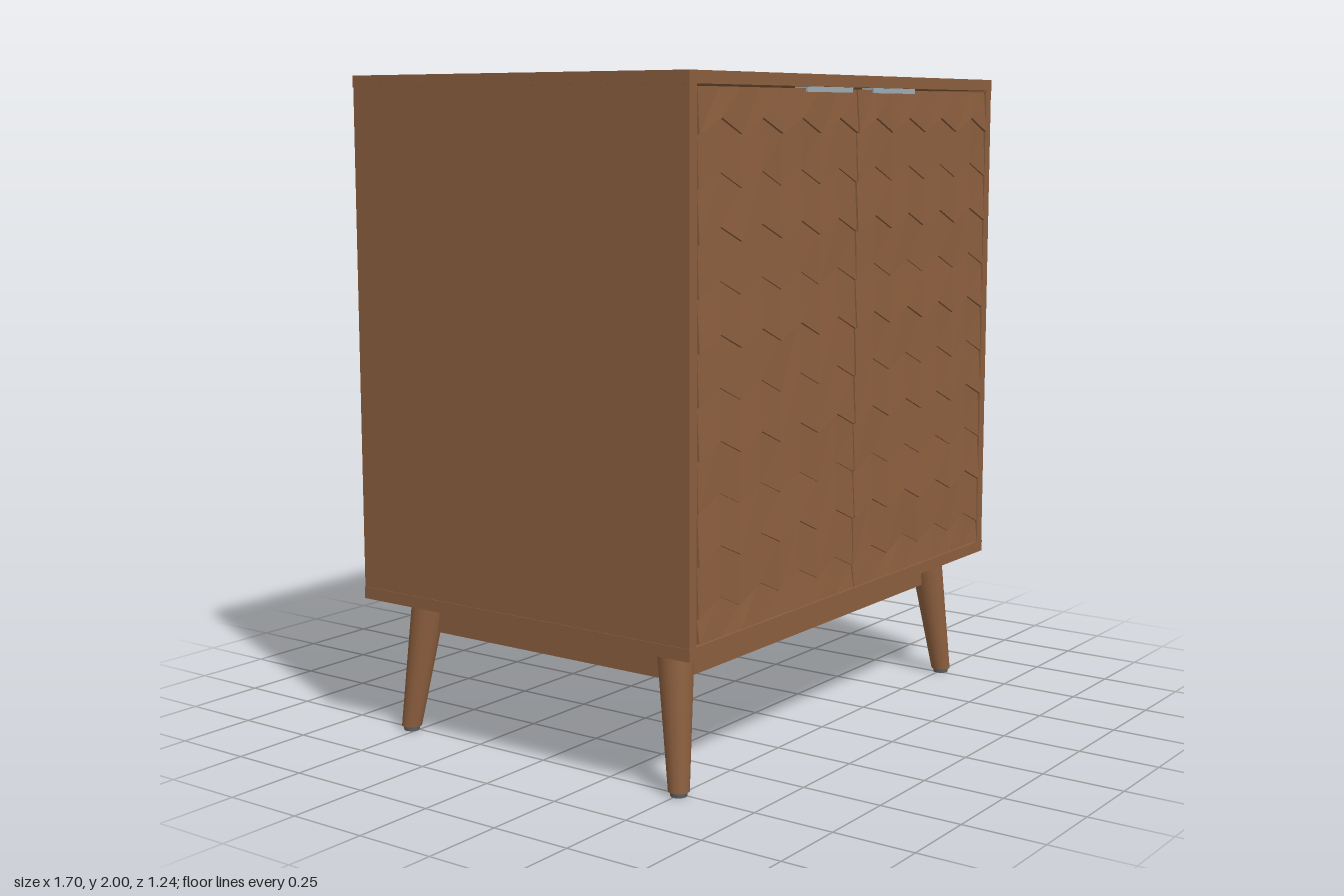
import * as THREE from 'three';

export function createModel() {
  const model = new THREE.Group();
  model.name = 'cabinet';
  const wood = new THREE.MeshStandardMaterial({ color: 0x8b5e3e });
  wood.name = 'brown wood';
  const metal = new THREE.MeshStandardMaterial({ color: 0x9eacb5 });
  metal.name = 'brushed metal';
  const rubber = new THREE.MeshStandardMaterial({ color: 0x5c6266 });
  rubber.name = 'grey foot';

  const add = (name, geometry, material, parent = model) => {
    const mesh = new THREE.Mesh(geometry, material);
    mesh.name = name;
    parent.add(mesh);
    return mesh;
  };
  // Box given by its minimum and maximum corners
  const box = (name, [x0, y0, z0], [x1, y1, z1], material = wood, parent = model) => {
    const g = new THREE.BoxGeometry(x1 - x0, y1 - y0, z1 - z0);
    g.translate((x0 + x1) / 2, (y0 + y1) / 2, (z0 + z1) / 2);
    return add(name, g, material, parent);
  };

  const FRONT = 0.604, BACK = -0.622, MID = (FRONT + BACK) / 2;

  // Carcass
  box('topPanel', [-0.85, 1.965, BACK], [0.85, 2, FRONT]);
  box('bottomPanel', [-0.85, 0.42, BACK], [0.85, 0.456, FRONT]);
  box('backPanel', [-0.815, 0.456, BACK + 0.008], [0.815, 1.965, BACK + 0.03]);
  for (const s of [-1, 1]) {
    const a = s * 0.815, b = s * 0.848;
    box(s > 0 ? 'leftSide' : 'rightSide',
      [Math.min(a, b), 0.456, BACK + 0.001], [Math.max(a, b), 1.965, FRONT - 0.001]);
  }

  // Doors: a slab faced with overlapping zigzag shingles
  const COLS = 8, ROWS = 11, LOW = 0.461, HIGH = 1.959, SLAB = 0.596;
  const lineY = (row, col) => {
    if (row === 0) return HIGH;
    if (row === ROWS) return LOW;
    return 1.855 - (row - 1) * 0.1448 + (col % 2 ? 0.022 : -0.022);
  };
  const vary = (a, b, c) => {
    const n = Math.sin(a * 12.99 + b * 78.23 + c * 37.7) * 43758.5;
    return n - Math.floor(n);
  };
  function shingles(x0, x1, seed) {
    const pos = [];
    const quad = (a, b, c, d) => pos.push(...a, ...b, ...c, ...a, ...c, ...d);
    const x = (c) => x0 + (x1 - x0) * c / COLS;
    const upper = (r, c) => [x(c), lineY(r, c), SLAB + 0.002 + 0.002 * vary(r, c, seed)];
    const lower = (r, c) => [x(c), lineY(r + 1, c),
      SLAB + (r % 2 ? 0.007 : 0.010) + 0.003 * vary(r, c, seed + 5)];
    const onSlab = (p) => [p[0], p[1], SLAB];
    for (let r = 0; r < ROWS; r++) {
      for (let c = 0; c < COLS; c++) {
        const tl = upper(r, c), tr = upper(r, c + 1), bl = lower(r, c), br = lower(r, c + 1);
        quad(bl, br, tr, tl);
        quad(onSlab(bl), onSlab(br), br, bl);
        quad(tl, tr, onSlab(tr), onSlab(tl));
        if (c === 0) quad(onSlab(bl), bl, tl, onSlab(tl));
        if (c === COLS - 1) quad(br, onSlab(br), onSlab(tr), tr);
      }
    }
    const g = new THREE.BufferGeometry();
    g.setAttribute('position', new THREE.Float32BufferAttribute(pos, 3));
    g.computeVertexNormals();
    return g;
  }
  for (const s of [-1, 1]) {
    const door = new THREE.Group();
    door.name = s > 0 ? 'leftDoor' : 'rightDoor';
    model.add(door);
    const x0 = s > 0 ? 0.004 : -0.808, x1 = s > 0 ? 0.808 : -0.004;
    box('doorSlab', [x0, LOW, 0.56], [x1, HIGH, SLAB], wood, door);
    add('doorShingles', shingles(x0, x1, s + 2), wood, door);

    // Edge pull: flat plate with a turned-down lip
    const h0 = s > 0 ? 0.06 : -0.307, h1 = s > 0 ? 0.307 : -0.06;
    box('handlePlate', [h0, 1.959, 0.58], [h1, 1.964, 0.622], metal, door);
    box('handleLip', [h0, 1.949, 0.617], [h1, 1.959, 0.622], metal, door);
  }

  // Apron frame under the cabinet
  for (const s of [-1, 1]) {
    const z = MID + s * 0.46, x = s * 0.705;
    box(s > 0 ? 'frontApron' : 'backApron', [-0.705, 0.314, z - 0.018], [0.705, 0.42, z + 0.018]);
    box(s > 0 ? 'leftApron' : 'rightApron',
      [x - 0.018, 0.314, MID - 0.46], [x + 0.018, 0.42, MID + 0.46]);
  }

  // Tapered legs, splayed outwards by a shear, with small feet
  const legGeometry = new THREE.CylinderGeometry(0.054, 0.031, 0.406, 24);
  legGeometry.translate(0, -0.203, 0);
  for (const sx of [-1, 1]) for (const sz of [-1, 1]) {
    const leg = new THREE.Group();
    leg.name = (sz > 0 ? 'front' : 'back') + (sx > 0 ? 'Left' : 'Right') + 'Leg';
    leg.position.set(sx * 0.716, 0.42, MID + sz * 0.468);
    model.add(leg);
    const kx = -sx * 0.11, kz = -sz * 0.108;
    const shear = new THREE.Matrix4().set(1, kx, 0, 0, 0, 1, 0, 0, 0, kz, 1, 0, 0, 0, 0, 1);
    add('legShaft', legGeometry.clone().applyMatrix4(shear), wood, leg);
    add('foot', new THREE.CylinderGeometry(0.026, 0.024, 0.016, 24), rubber, leg)
      .position.set(sx * 0.045, -0.412, sz * 0.044);
  }
  return model;
}
